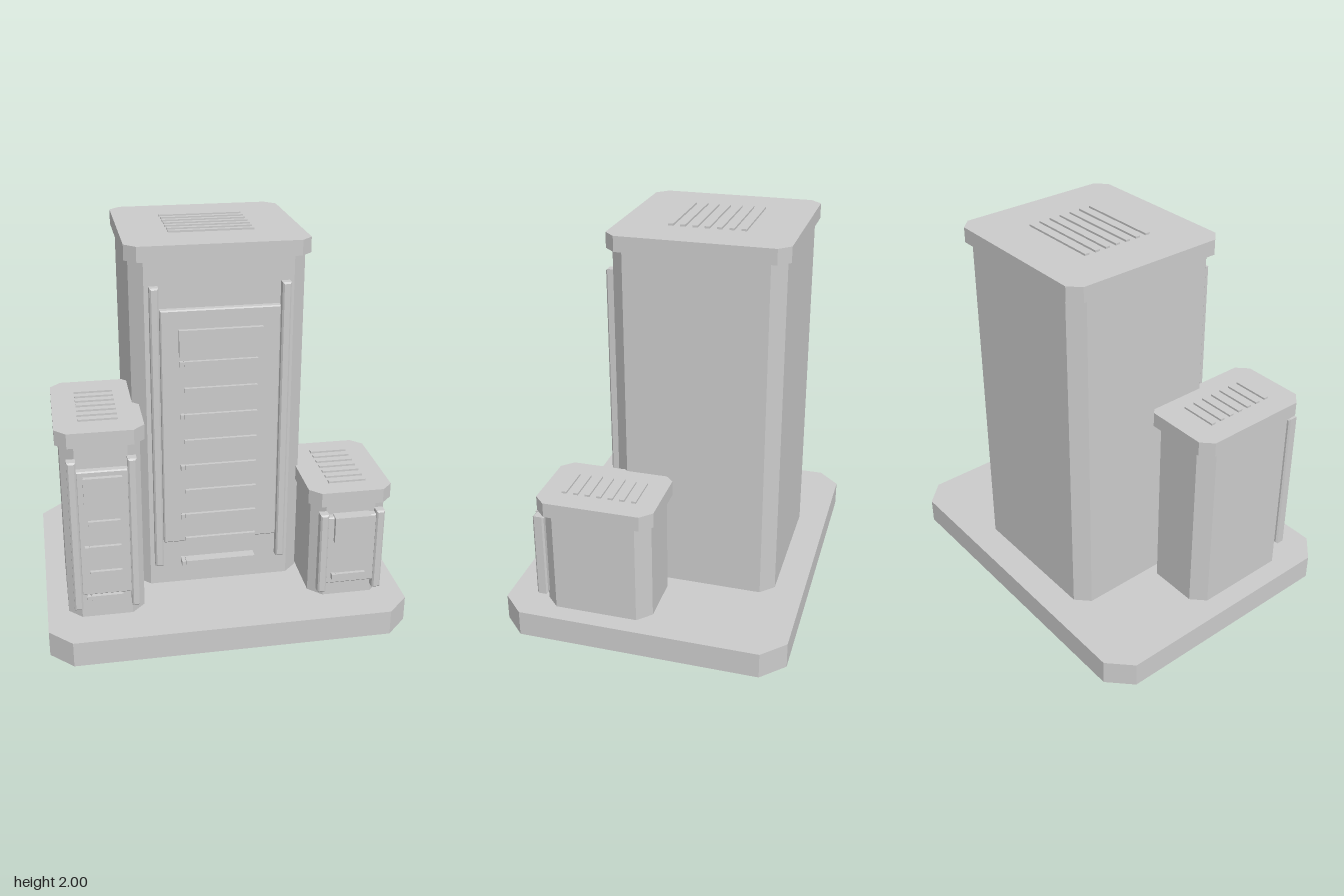
import * as THREE from 'three';

const material = new THREE.MeshStandardMaterial({ color: 0xcccccc, flatShading: true });

function addMesh(parent, name, geometry) {
  const mesh = new THREE.Mesh(geometry, material);
  mesh.name = name;
  parent.add(mesh);
  return mesh;
}

// Upright prism with cut corners, spanning y0..y1
function addPrism(parent, name, w, d, cut, y0, y1) {
  const x = w / 2, z = d / 2;
  const shape = new THREE.Shape([
    [x - cut, -z], [x, cut - z], [x, z - cut], [x - cut, z],
    [cut - x, z], [-x, z - cut], [-x, cut - z], [cut - x, -z],
  ].map(([a, b]) => new THREE.Vector2(a, b)));
  const geometry = new THREE.ExtrudeGeometry(shape, { depth: y1 - y0, bevelEnabled: false });
  geometry.rotateX(-Math.PI / 2).translate(0, y0, 0);
  return addMesh(parent, name, geometry);
}

// Plain box given by its limits
function addBox(parent, name, x0, x1, y0, y1, z0, z1) {
  const box = addMesh(parent, name, new THREE.BoxGeometry(x1 - x0, y1 - y0, z1 - z0));
  box.position.set((x0 + x1) / 2, (y0 + y1) / 2, (z0 + z1) / 2);
  return box;
}

// Box with chamfered edges given by its limits
function addBevelBox(parent, name, x0, x1, y0, y1, z0, z1, b) {
  const shape = new THREE.Shape([
    [x0 + b, y0 + b], [x1 - b, y0 + b], [x1 - b, y1 - b], [x0 + b, y1 - b],
  ].map(([x, y]) => new THREE.Vector2(x, y)));
  const geometry = new THREE.ExtrudeGeometry(shape, {
    depth: z1 - z0 - 2 * b, bevelThickness: b, bevelSize: b, bevelSegments: 1,
  });
  geometry.translate(0, 0, z0 + b);
  return addMesh(parent, name, geometry);
}

const BASE_TOP = 0.135;

function createTower(t) {
  const tower = new THREE.Group();
  tower.name = t.name;
  tower.position.set(t.x, 0, t.z);

  // Shaft and overhanging cap
  addPrism(tower, 'shaft', t.w, t.d, 0.067, BASE_TOP, t.top - 0.07);
  addPrism(tower, 'cap', t.w + 0.042, t.d + 0.042, 0.056, t.top - 0.077, t.top);

  // Roof vent slats
  for (let i = -3; i <= 3; i++) {
    const z = t.ventZ + i * 0.06;
    addBox(tower, 'roofSlat', -t.vent, t.vent, t.top - 0.01, t.top + 0.01, z - 0.0125, z + 0.0125);
  }

  // Front panel between two upright rails
  const face = t.d / 2;
  const back = face - 0.01;
  addBevelBox(tower, 'frontPanel', -t.panel, t.panel, t.panelY[0], t.panelY[1], back, face + 0.037, 0.006);
  for (const side of [-1, 1]) {
    const x = side * t.rail;
    addBevelBox(tower, 'rail', x - 0.022, x + 0.022, t.railY[0], t.railY[1], back, face + 0.047, 0.008);
  }

  // Display window
  addBox(tower, 'window', -t.window, t.window, t.windowY[0], t.windowY[1], back, face + 0.06);

  // Front bars, every second one (counted from the bottom) with a small end block
  for (let i = 0; i < t.bars; i++) {
    const y = 0.275 + i * 0.141;
    addBox(tower, 'frontBar', -t.bar, t.bar, y - 0.012, y + 0.012, back, face + 0.054);
    if (i % 2 === 0 && i < t.bars) {
      addBox(tower, 'barEndBlock', -t.bar - 0.022, -t.bar - 0.002, y - 0.014, y + 0.014, back, face + 0.06);
    }
  }
  return tower;
}

export function createModel() {
  const model = new THREE.Group();
  model.name = 'towerCluster';

  // Plinth
  addPrism(model, 'base', 1.86, 1.472, 0.115, 0, BASE_TOP);

  const towers = [
    {
      name: 'mainTower', x: -0.003, z: -0.16, w: 0.874, d: 0.845, top: 1.99,
      vent: 0.217, ventZ: 0, panel: 0.298, panelY: [0.4, 1.675],
      rail: 0.325, railY: [0.265, 1.79], window: 0.209, windowY: [1.44, 1.578],
      bars: 9, bar: 0.185,
    },
    {
      name: 'rightTower', x: -0.625, z: 0.202, w: 0.392, d: 0.624, top: 1.172,
      vent: 0.098, ventZ: 0.003, panel: 0.127, panelY: [0.285, 0.975],
      rail: 0.146, railY: [0.205, 1.03], window: 0.095, windowY: [0.808, 0.947],
      bars: 4, bar: 0.079,
    },
    {
      name: 'leftTower', x: 0.637, z: 0.242, w: 0.392, d: 0.56, top: 0.748,
      vent: 0.098, ventZ: 0, panel: 0.13, panelY: [0.225, 0.615],
      rail: 0.147, railY: [0.18, 0.635], window: 0.095, windowY: [0.48, 0.62],
      bars: 1, bar: 0.079,
    },
  ];
  for (const t of towers) model.add(createTower(t));
  return model;
}
